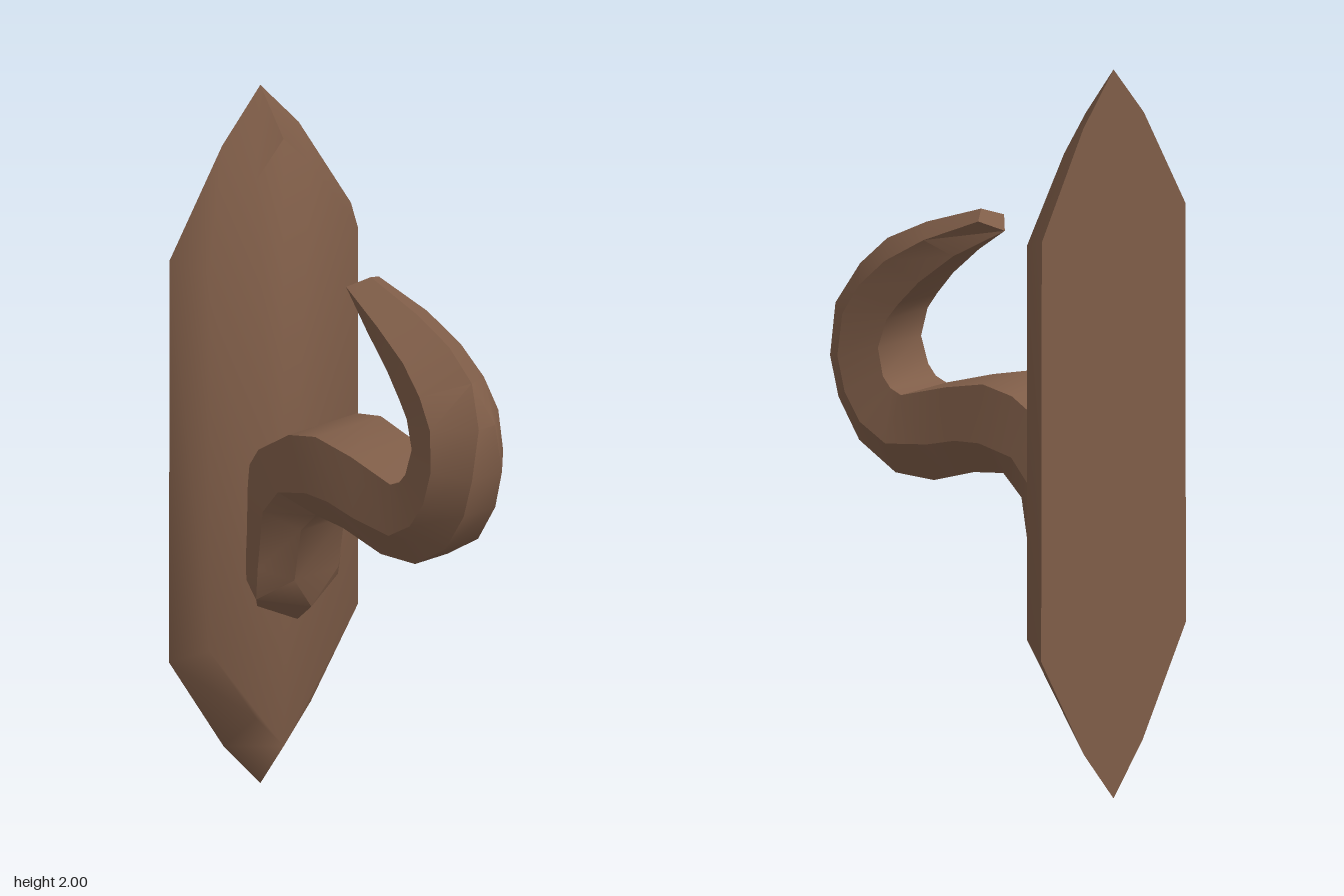
import * as THREE from 'three';
import { toCreasedNormals } from 'three/addons/utils/BufferGeometryUtils.js';

// Skin a list of equal-length rings (counter-clockwise about the travel direction) and cap both ends
function loft(rings, crease) {
  const n = rings[0].length, pos = [];
  const tri = (...pts) => pts.forEach((p) => pos.push(...p));
  for (let r = 0; r < rings.length - 1; r++) {
    const a = rings[r], b = rings[r + 1];
    for (let i = 0; i < n; i++) {
      const j = (i + 1) % n;
      tri(a[i], a[j], b[j]);
      tri(a[i], b[j], b[i]);
    }
  }
  const first = rings[0], last = rings[rings.length - 1];
  for (let i = 1; i < n - 1; i++) {
    tri(first[0], first[i + 1], first[i]);
    tri(last[0], last[i], last[i + 1]);
  }
  const geo = new THREE.BufferGeometry();
  geo.setAttribute('position', new THREE.Float32BufferAttribute(pos, 3));
  return toCreasedNormals(geo, crease);
}

export function createModel() {
  const group = new THREE.Group();
  group.name = 'wallHook';
  const brown = new THREE.MeshStandardMaterial({ color: 0x7f5d48 });
  brown.name = 'warm brown';

  // Wall plate: pointed outline with a bevel running in to the front face
  const outline = (half, z) => [
    ...half.map(([x, y]) => [x, y, z]),
    ...half.slice(1, -1).reverse().map(([x, y]) => [-x, y, z]),
  ];
  const back = [[0, 0], [0.135, 0.14], [0.335, 0.43], [0.332, 1.58], [0.14, 1.86], [0, 2]];
  const front = [[0, 0.13], [0.1, 0.235], [0.272, 0.47], [0.272, 1.55], [0.1, 1.775], [0, 1.87]];
  const plate = new THREE.Mesh(loft([outline(back, -0.447), outline(front, -0.355)], 1.0), brown);
  plate.name = 'wallPlate';
  group.add(plate);

  // Hook sections: outer z, y; inner z, y; half widths at outer face, middle and inner face
  const sections = [
    [-0.30, 0.51, -0.37, 0.65, 0, 0.12, 0.10],
    [-0.245, 0.56, -0.38, 0.66, 0, 0.15, 0.13],
    [-0.225, 0.66, -0.38, 0.74, 0.08, 0.155, 0.13],
    [-0.20, 0.81, -0.38, 0.93, 0.08, 0.15, 0.125],
    [-0.14, 0.87, -0.32, 1.02, 0.08, 0.15, 0.125],
    [-0.04, 0.86, -0.20, 1.095, 0.075, 0.148, 0.125],
    [0.03, 0.84, -0.10, 1.115, 0.07, 0.145, 0.12],
    [0.10, 0.82, 0.03, 1.09, 0.065, 0.14, 0.11],
    [0.23, 0.825, 0.18, 1.05, 0.06, 0.138, 0.105],
    [0.35, 0.90, 0.215, 1.065, 0.06, 0.138, 0.105],
    [0.42, 1.01, 0.24, 1.095, 0.058, 0.136, 0.105],
    [0.45, 1.12, 0.26, 1.17, 0.055, 0.133, 0.10],
    [0.45, 1.26, 0.235, 1.25, 0.03, 0.125, 0.095],
    [0.39, 1.37, 0.20, 1.295, 0, 0.118, 0.09],
    [0.30, 1.45, 0.14, 1.36, 0, 0.107, 0.08],
    [0.17, 1.51, 0.04, 1.44, 0, 0.092, 0.06],
    [-0.01, 1.567, -0.088, 1.515, 0, 0.06, 0],
  ];
  const rings = sections.map(([oz, oy, iz, iy, wo, w, wi]) => {
    const mz = oz + (iz - oz) * 0.42, my = oy + (iy - oy) * 0.42;
    return [[wo, oy, oz], [w, my, mz], [wi, iy, iz], [-wi, iy, iz], [-w, my, mz], [-wo, oy, oz]];
  });
  const hook = new THREE.Mesh(loft(rings, 0.65), brown);
  hook.name = 'hook';
  group.add(hook);

  return group;
}
